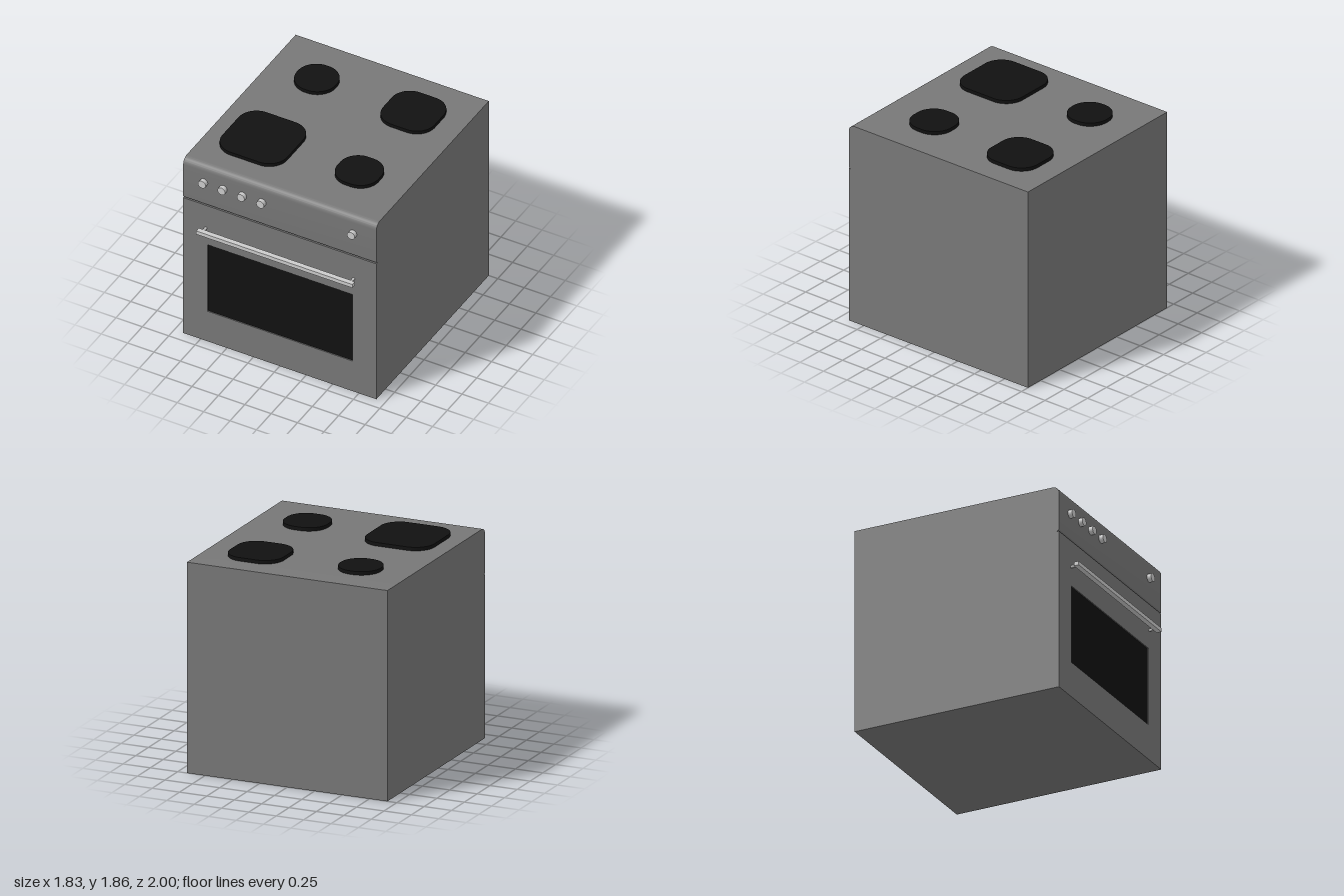
import * as THREE from 'three';
import { toCreasedNormals } from 'three/addons/utils/BufferGeometryUtils.js';

const paint = (color) => new THREE.MeshStandardMaterial({ color });

// Rounded rectangle centred on the origin
function roundedRect(w, h, r) {
  const s = new THREE.Shape();
  const a = w / 2 - r, b = h / 2 - r;
  s.absarc(a, b, r, 0, Math.PI / 2);
  s.absarc(-a, b, r, Math.PI / 2, Math.PI);
  s.absarc(-a, -b, r, Math.PI, Math.PI * 1.5);
  s.absarc(a, -b, r, Math.PI * 1.5, Math.PI * 2);
  s.closePath();
  return s;
}

export function createModel() {
  const group = new THREE.Group();
  const enamel = paint(0x777777), black = paint(0x111111), metal = paint(0xcccccc);
  const add = (name, geometry, material, x = 0, y = 0, z = 0) => {
    const mesh = new THREE.Mesh(geometry, material);
    mesh.name = name;
    mesh.position.set(x, y, z);
    group.add(mesh);
    return mesh;
  };

  const W = 1.83, top = 1.83, front = 0.907, back = -1, inset = 0.89;

  // Body: side profile with a rounded front edge and a step back behind the door
  const side = new THREE.Shape();
  side.moveTo(back, 0);
  side.lineTo(inset, 0);
  side.lineTo(inset, 1.425);
  side.lineTo(front - 0.008, 1.427);
  side.quadraticCurveTo(front, 1.432, front, 1.442);
  side.lineTo(front, top - 0.06);
  side.absarc(front - 0.06, top - 0.06, 0.06, 0, Math.PI / 2);
  side.lineTo(back, top);
  side.closePath();
  const body = new THREE.ExtrudeGeometry(side, { depth: W, bevelEnabled: false, curveSegments: 10 });
  body.rotateY(-Math.PI / 2).translate(W / 2, 0, 0);
  add('body', toCreasedNormals(body, 0.6), enamel);

  // Oven door frame with the window opening
  const door = new THREE.Shape();
  door.moveTo(-W / 2, 0);
  door.lineTo(W / 2, 0);
  door.lineTo(W / 2, 1.42);
  door.lineTo(-W / 2, 1.42);
  door.closePath();
  const opening = new THREE.Path();
  opening.moveTo(-0.687, 0.315);
  opening.lineTo(-0.687, 1.012);
  opening.lineTo(0.687, 1.012);
  opening.lineTo(0.687, 0.315);
  opening.closePath();
  door.holes.push(opening);
  add('ovenDoor', new THREE.ExtrudeGeometry(door, { depth: front - inset, bevelEnabled: false }), enamel, 0, 0, inset);
  add('ovenWindow', new THREE.BoxGeometry(1.374, 0.697, 0.012), black, 0, 0.6635, inset + 0.002);

  // Door handle on two posts
  add('handleBar', new THREE.BoxGeometry(1.48, 0.035, 0.045), metal, 0, 1.182, 0.9775);
  for (const x of [-0.7, 0.7]) {
    const post = new THREE.CylinderGeometry(0.012, 0.012, 0.06, 16).rotateX(Math.PI / 2);
    add('handlePost', post, metal, x, 1.182, 0.93);
  }

  // Control knobs
  for (const x of [-0.718, -0.534, -0.35, -0.166, 0.695]) {
    const knob = new THREE.CylinderGeometry(0.036, 0.036, 0.045, 32).rotateX(Math.PI / 2);
    add('knob', knob, metal, x, 1.655, 0.9225);
  }

  // Hot plates: x, z, size, corner radius
  const plates = [
    [-0.46, -0.545, 0.37, 0.175],
    [0.455, -0.545, 0.49, 0.17],
    [-0.46, 0.37, 0.615, 0.17],
    [0.455, 0.37, 0.39, 0.17],
  ];
  for (const [x, z, size, r] of plates) {
    const plate = new THREE.ExtrudeGeometry(roundedRect(size, size, r), { depth: 0.031, bevelEnabled: false, curveSegments: 10 });
    plate.rotateX(-Math.PI / 2);
    add('hotPlate', toCreasedNormals(plate, 0.6), black, x, top, z);
  }

  return group;
}
